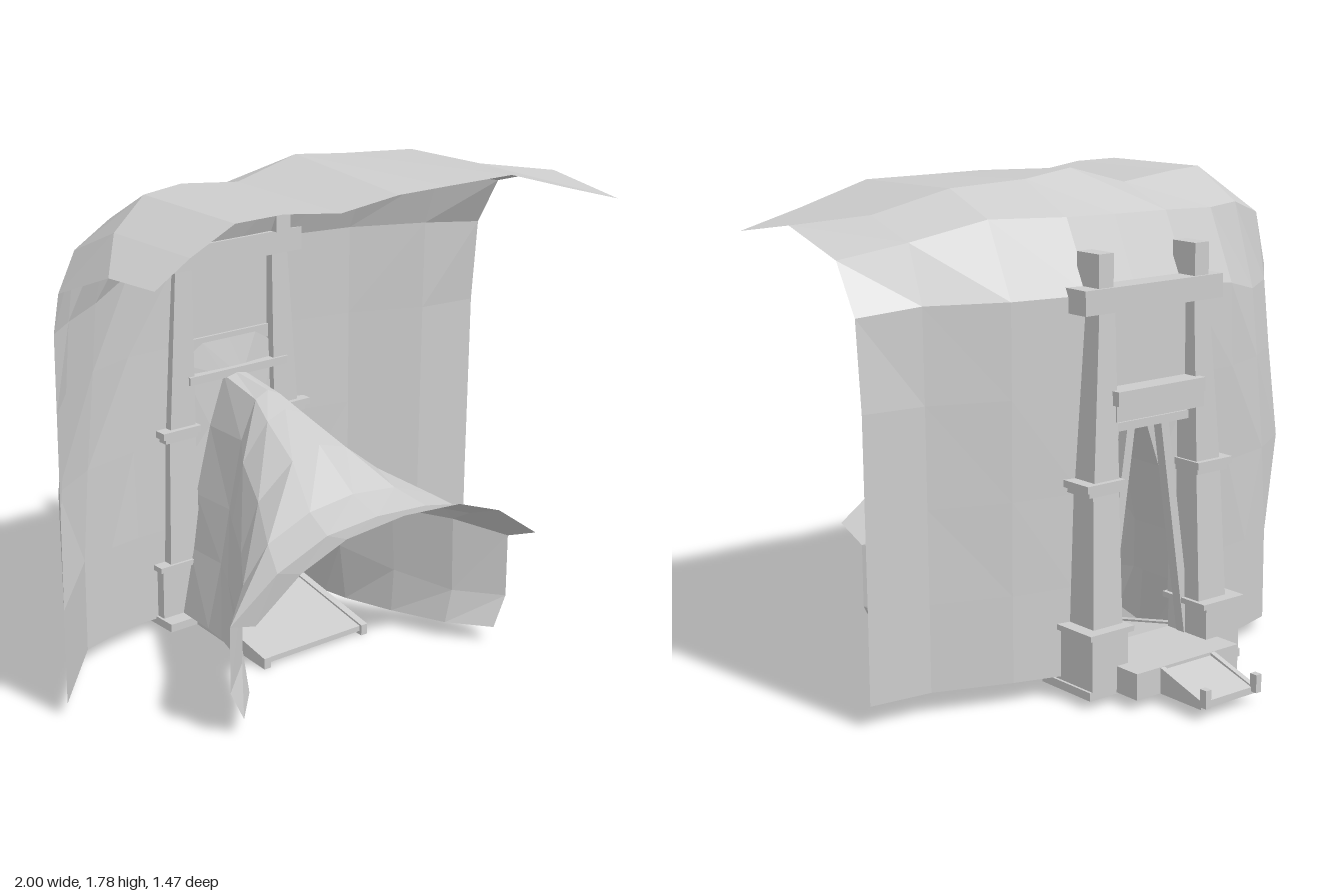
import * as THREE from 'three';

const grey = new THREE.MeshStandardMaterial({ color: 0xcccccc, flatShading: true, side: THREE.DoubleSide });
grey.name = 'plain grey';

// Cloth sheet from rows of points; skip(i, j) leaves a cell open
function sheet(name, rows, skip = () => false) {
  const n = rows[0].length, index = [];
  for (let i = 0; i < rows.length - 1; i++) {
    for (let j = 0; j < n - 1; j++) {
      if (skip(i, j)) continue;
      const a = i * n + j, b = a + 1, c = a + n, d = c + 1;
      index.push(a, c, b, b, c, d);
    }
  }
  const g = new THREE.BufferGeometry();
  g.setAttribute('position', new THREE.Float32BufferAttribute(rows.flat(2), 3));
  g.setIndex(index);
  g.computeVertexNormals();
  const m = new THREE.Mesh(g, grey);
  m.name = name;
  return m;
}

// Box given by its limits on each axis
function box(name, x0, x1, y0, y1, z0, z1) {
  const g = new THREE.BoxGeometry(x1 - x0, y1 - y0, z1 - z0);
  g.translate((x0 + x1) / 2, (y0 + y1) / 2, (z0 + z1) / 2);
  const m = new THREE.Mesh(g, grey);
  m.name = name;
  return m;
}

// Side outline [z, y] extruded across x
function slab(name, x0, x1, outline) {
  const s = new THREE.Shape(outline.map(([z, y]) => new THREE.Vector2(-z, y)));
  const g = new THREE.ExtrudeGeometry(s, { depth: x1 - x0, bevelEnabled: false });
  g.rotateY(Math.PI / 2).translate(x0, 0, 0);
  const m = new THREE.Mesh(g, grey);
  m.name = name;
  return m;
}

// Box whose top end has its own x and z limits
function taper(name, y0, y1, [ax0, ax1, az0, az1], [bx0, bx1, bz0, bz1]) {
  const m = box(name, -1, 1, y0, y1, -1, 1), p = m.geometry.attributes.position;
  for (let i = 0; i < p.count; i++) {
    const top = p.getY(i) > (y0 + y1) / 2, right = p.getX(i) > 0, front = p.getZ(i) > 0;
    p.setX(i, right ? (top ? bx1 : ax1) : (top ? bx0 : ax0));
    p.setZ(i, front ? (top ? bz1 : az1) : (top ? bz0 : az0));
  }
  m.geometry.computeVertexNormals();
  return m;
}

// Backdrop columns: x, lip y z, crest y z, shoulder y z, knee y z, wall z, foot x y z, middle x z if bulged
function backdrop() {
  const columns = [
    [-1, 1.60, 0.69, 1.59, 0.45, 1.48, 0.165, 1.34, 0.13, 0.13, -1, 0.05, 0.13],
    [-0.85, 1.67, 0.66, 1.67, 0.26, 1.57, 0.03, 1.32, -0.02, -0.05, -0.72, 0.05, -0.175, -0.885, -0.065],
    [-0.66, 1.74, 0.63, 1.745, 0.15, 1.63, -0.05, 1.32, -0.15, -0.18, -0.58, 0.05, -0.215, -0.69, -0.185],
    [-0.47, 1.74, 0.625, 1.745, 0.09, 1.63, -0.12, 1.37, -0.235, -0.245, -0.45, 0.05, -0.235],
    [-0.24, 1.71, 0.625, 1.72, 0.09, 1.64, -0.135, 1.4, -0.25, -0.25, -0.27, 0.05, -0.24],
    [0, 1.735, 0.625, 1.785, 0.1, 1.645, -0.14, 1.4, -0.25, -0.25, 0, 0.06, -0.23],
    [0.21, 1.735, 0.625, 1.76, 0.09, 1.65, -0.135, 1.4, -0.255, -0.255, 0.28, 0.07, -0.24],
    [0.5, 1.735, 0.63, 1.745, 0.13, 1.66, -0.08, 1.4, -0.2, -0.2, 0.5, 0.08, -0.195],
    [0.77, 1.655, 0.64, 1.67, 0.2, 1.6, -0.01, 1.4, -0.08, -0.085, 0.77, 0.08, -0.09],
    [1, 1.59, 0.66, 1.64, 0.345, 1.555, 0.065, 1.38, -0.035, -0.06, 1, 0.08, -0.065],
  ];
  const rows = columns.map(([x, ly, lz, cy, cz, sy, sz, ky, kz, wz, fx, fy, fz, mx = (x + fx) / 2, mz = (wz + fz) / 2]) => [
    [x, ly, lz], [x, cy, cz], [x, sy, sz], [x, ky, kz],
    [x, 1.07, wz], [mx, 0.72, mz], [fx, 0.39, fz], [fx, fy, fz],
  ]);
  // doorway between the posts
  return sheet('backdropCloth', rows, (i, j) => (i === 4 || i === 5) && j >= 3);
}

// Flared canopy: sections hold centre x, z, ridge y, then [half width, y] from ridge to ground
function canopy() {
  const sections = [
    [-0.02, -0.23, 0.94, [[0.045, 0.93], [0.11, 0.75], [0.175, 0.5], [0.21, 0.3], [0.26, 0.06]]],
    [-0.02, -0.03, 0.915, [[0.055, 0.89], [0.12, 0.75], [0.175, 0.5], [0.215, 0.3], [0.275, 0.06]]],
    [-0.02, 0.07, 0.87, [[0.08, 0.84], [0.19, 0.71], [0.24, 0.5], [0.26, 0.28], [0.29, 0.06]]],
    [-0.02, 0.26, 0.79, [[0.12, 0.755], [0.27, 0.64], [0.345, 0.47], [0.36, 0.22], [0.35, 0.06]]],
    [-0.035, 0.46, 0.67, [[0.19, 0.65], [0.37, 0.58], [0.475, 0.46], [0.48, 0.18], [0.45, 0.06]]],
    [-0.045, 0.6, 0.635, [[0.22, 0.62], [0.43, 0.54], [0.625, 0.405], [0.625, 0.17], [0.57, 0.06]]],
  ];
  const ring = ([c, z, y, half]) => [
    ...half.map(([w, h]) => [c - w, h, z]).reverse(), [c, y, z], ...half.map(([w, h]) => [c + w, h, z]),
  ];
  const rings = sections.map(ring);
  const lip = ring([-0.045, 0.735, 0.68, [[0.25, 0.66], [0.44, 0.59], [0.625, 0.46]]]);
  // infill cloth between the canopy and the door frame
  const frame = ring([-0.025, -0.25, 1.06, [[0.12, 1.06], [0.22, 1.0], [0.22, 0.6], [0.22, 0.3]]]);
  const g = new THREE.Group();
  g.name = 'canopy';
  g.add(
    sheet('canopyCloth', rings),
    sheet('canopyLip', [rings[5].slice(2, 9), lip]),
    sheet('doorInfill', [rings[0].slice(1, 10), frame]),
  );
  return g;
}

// One gate post; s is the side, widths are measured from the gate centre
function post(s, c) {
  const g = new THREE.Group();
  g.name = s > 0 ? 'leftPost' : 'rightPost';
  const span = (a, b) => (s > 0 ? [c + a, c + b] : [c - b, c - a]);
  const cube = (name, a, b, ...rest) => g.add(box(name, ...span(a, b), ...rest));
  cube('footing', 0.19, 0.355, 0.03, 0.06, -0.4, -0.14);
  cube('postBase', 0.185, 0.345, 0.03, 0.25, -0.4, -0.2);
  cube('baseCap', 0.165, 0.36, 0.245, 0.265, -0.41, -0.19);
  g.add(taper('lowerShaft', 0.265, 0.735, [...span(0.18, 0.31), -0.365, -0.2], [...span(0.18, 0.295), -0.345, -0.215]));
  cube('collar', 0.175, 0.32, 0.73, 0.75, -0.355, -0.205);
  cube('capital', 0.17, 0.335, 0.75, 0.775, -0.365, -0.195);
  g.add(taper('upperShaft', 0.775, 1.43, [...span(0.18, 0.29), -0.345, -0.215], [...span(0.18, 0.245), -0.32, -0.23]));
  cube('postHead', 0.185, 0.25, 1.43, 1.545, -0.32, -0.207);
  // slanted door brace
  g.add(taper('brace', 0.13, 0.93, [...span(0.18, 0.215), -0.29, -0.25], [...span(0.06, 0.095), -0.29, -0.25]));
  return g;
}

export function createModel() {
  const model = new THREE.Group();
  const c = -0.025;
  model.add(backdrop(), canopy());

  // gate
  const gate = new THREE.Group();
  gate.name = 'gate';
  for (const s of [-1, 1]) gate.add(post(s, c));
  gate.add(
    box('topBeam', c - 0.31, c + 0.315, 1.345, 1.43, -0.33, -0.225),
    box('gatePanel', c - 0.225, c + 0.225, 1.04, 1.38, -0.28, -0.26),
    box('backBeam', c - 0.2, c + 0.2, 1.03, 1.08, -0.365, -0.25),
    box('hangingPlate', c - 0.2, c + 0.2, 0.975, 1.03, -0.357, -0.35),
    box('frontBeam', c - 0.205, c + 0.24, 0.925, 0.955, -0.3, -0.21),
  );
  model.add(gate);

  // floor and ramps
  const floor = new THREE.Group();
  floor.name = 'floor';
  floor.add(
    box('platform', c - 0.24, c + 0.235, 0.035, 0.13, -0.505, -0.2),
    slab('frontRamp', c - 0.22, c + 0.215, [[0.25, 0.015], [0.25, 0.035], [-0.2, 0.13], [-0.2, 0.105]]),
    slab('backRamp', c - 0.12, c + 0.115, [[-0.5, 0.09], [-0.5, 0.12], [-0.71, 0.06], [-0.71, 0.035]]),
  );
  for (const s of [-1, 1]) {
    const f = c + s * 0.225, b = c + s * 0.118;
    floor.add(
      slab('frontRail', f - 0.014, f + 0.014, [[0.26, 0], [0.26, 0.04], [-0.2, 0.137], [-0.2, 0.03], [-0.15, 0.03]]),
      slab('backRail', b - 0.01, b + 0.01, [[-0.5, 0.035], [-0.5, 0.13], [-0.71, 0.065], [-0.71, 0.035]]),
      box('railEnd', b - 0.012, b + 0.012, 0.045, 0.11, -0.735, -0.705),
    );
  }
  model.add(floor);
  return model;
}
